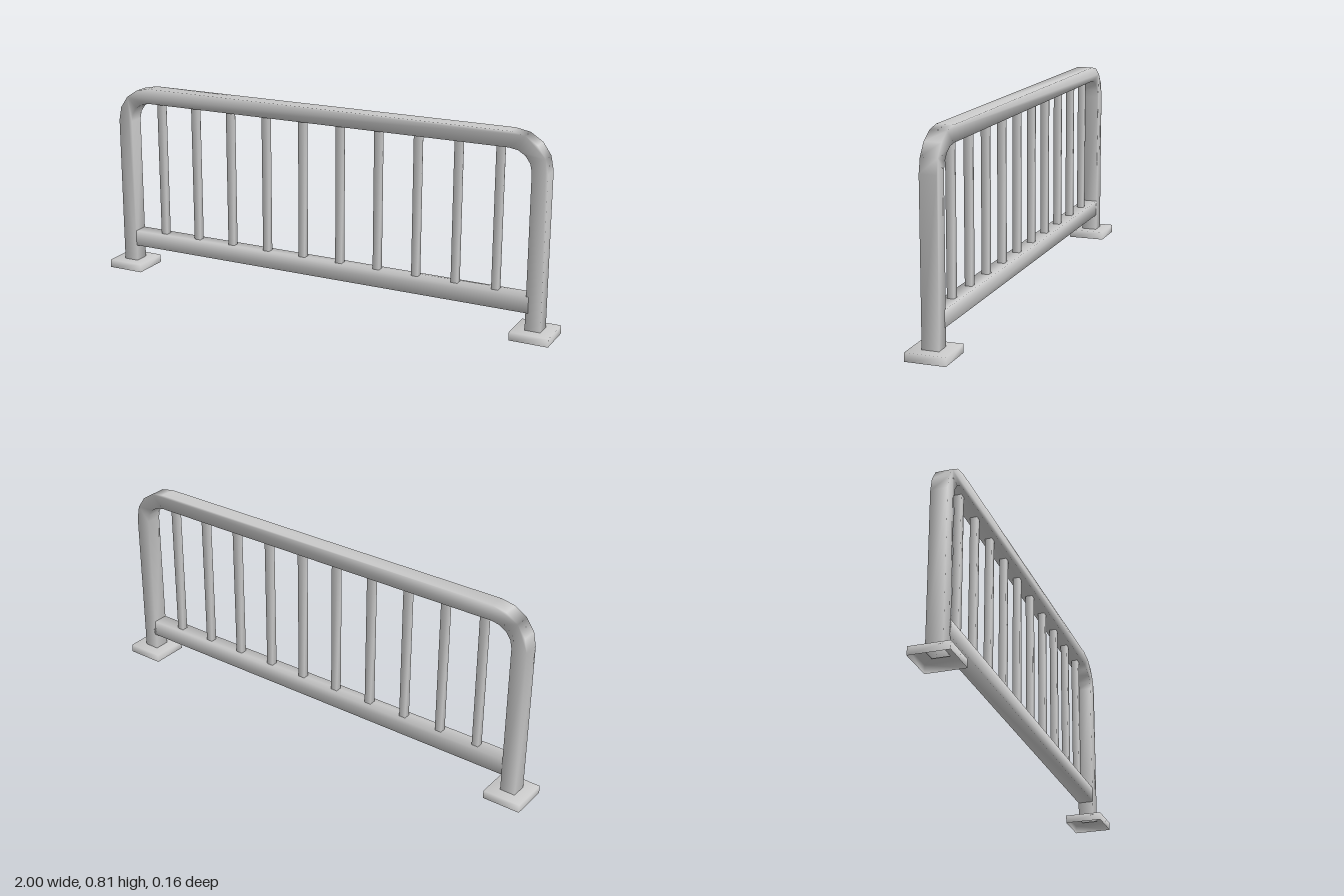
import * as THREE from 'three';
import { mergeVertices } from 'three/addons/utils/BufferGeometryUtils.js';

const material = new THREE.MeshStandardMaterial({ color: 0xcccccc });
const openMaterial = new THREE.MeshStandardMaterial({ color: 0xcccccc, side: THREE.DoubleSide });

// Weld corners so the shading rolls softly over the edges
function soften(geometry) {
  geometry.deleteAttribute('uv');
  geometry.deleteAttribute('normal');
  const welded = mergeVertices(geometry, 1e-4);
  welded.computeVertexNormals();
  return welded;
}

function addMesh(parent, name, geometry, mat = material) {
  const mesh = new THREE.Mesh(soften(geometry), mat);
  mesh.name = name;
  parent.add(mesh);
  return mesh;
}

// Half of the outline of the bent frame, from foot to top, with a faceted corner
function archSide(x, top, cornerX, cornerY, steps) {
  const points = [[x, 0.03]];
  for (let i = 0; i <= steps; i++) {
    const a = (i / steps) * Math.PI / 2;
    points.push([
      cornerX + (x - cornerX) * Math.cos(a),
      cornerY + (top - cornerY) * Math.sin(a),
    ]);
  }
  return points;
}

export function createModel() {
  const group = new THREE.Group();
  group.name = 'barrier';
  const thick = 0.066;

  // Bent square-section frame: two posts and the top rail in one piece
  const mirror = (pts) => pts.map(([x, y]) => [-x, y]).reverse();
  const outer = archSide(0.953, 0.808, 0.8, 0.66, 4);
  const inner = archSide(0.89, 0.745, 0.8, 0.66, 4);
  const outline = [...outer, ...mirror(outer), ...inner.map(([x, y]) => [-x, y]), ...mirror(inner).map(([x, y]) => [-x, y])];
  // The inner edge runs from the right foot over the top to the left foot
  const shape = new THREE.Shape(outline.map(([x, y]) => new THREE.Vector2(x, y)));
  const frame = new THREE.ExtrudeGeometry(shape, { depth: thick, bevelEnabled: false });
  frame.translate(0, 0, -thick / 2);
  addMesh(group, 'frame', frame);

  // Bottom rail
  addMesh(group, 'bottomRail', new THREE.BoxGeometry(1.8, thick, thick)).position.y = 0.137;

  // Upright bars
  const bars = new THREE.Group();
  bars.name = 'bars';
  group.add(bars);
  for (let i = 0; i < 10; i++) {
    const bar = addMesh(bars, 'bar', new THREE.BoxGeometry(0.028, 0.6, 0.028));
    bar.position.set(-0.756 + i * 0.168, 0.458, 0);
  }

  // Foot plates, hollow underneath
  for (const side of [-1, 1]) {
    const plate = new THREE.BoxGeometry(0.157, 0.034, 0.157);
    const index = Array.from(plate.index.array);
    index.splice(18, 6);
    plate.setIndex(index);
    addMesh(group, side > 0 ? 'leftFoot' : 'rightFoot', plate, openMaterial)
      .position.set(side * 0.9215, 0.017, 0);
  }
  return group;
}
